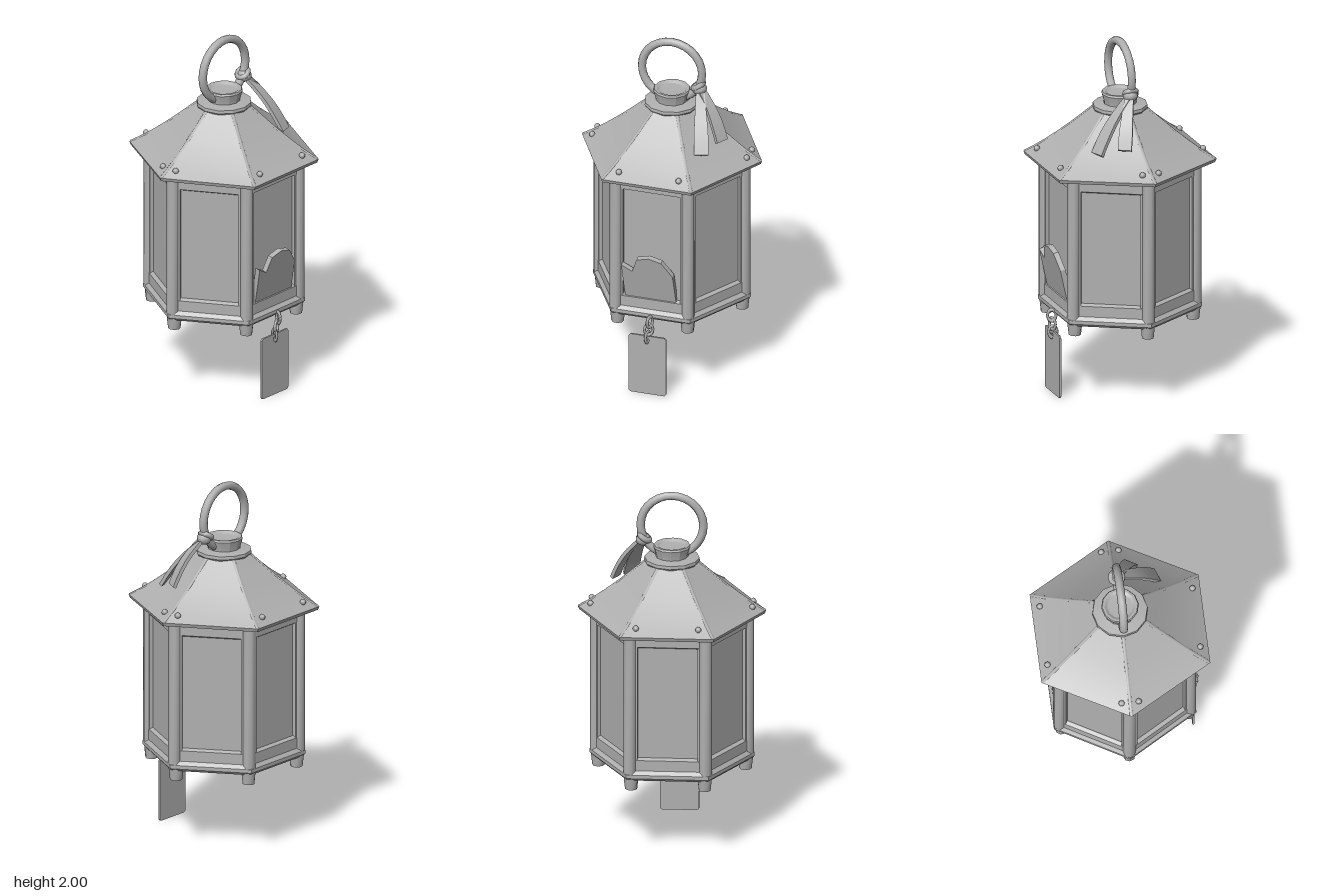
import * as THREE from 'three';
import { toCreasedNormals } from 'three/addons/utils/BufferGeometryUtils.js';

const metal = new THREE.MeshStandardMaterial({ color: 0xb0b0b0 });
metal.name = 'plain grey';

const V = (x, y, z) => new THREE.Vector3(x, y, z);

function add(parent, name, geometry, x = 0, y = 0, z = 0) {
  const mesh = new THREE.Mesh(geometry, metal);
  mesh.name = name;
  mesh.position.set(x, y, z);
  parent.add(mesh);
  return mesh;
}

// Solid of revolution with few sides and crisp edges; a corner points to +x
function ringed(points, sides) {
  const profile = points.map(([r, y]) => new THREE.Vector2(r, y));
  return toCreasedNormals(new THREE.LatheGeometry(profile, sides, Math.PI / 2), 0.4);
}

// Round bar through a list of points
function bar(points, radius, sides = 7) {
  return new THREE.TubeGeometry(new THREE.CatmullRomCurve3(points), 8, radius, sides);
}

// Flat strip from a to b that widens and bows towards its loose end
function strap(a, b, narrow, wide) {
  const length = a.distanceTo(b);
  const g = new THREE.BoxGeometry(1, 0.02, length, 1, 1, 6);
  const p = g.attributes.position;
  for (let i = 0; i < p.count; i++) {
    const t = p.getZ(i) / length + 0.5;
    p.setX(i, p.getX(i) * (narrow + (wide - narrow) * Math.min(1, t * 1.4)));
    p.setY(i, p.getY(i) + 0.02 * Math.sin(Math.PI * t));
  }
  const along = b.clone().sub(a).normalize();
  const across = V(0, 1, 0).cross(along).normalize();
  const up = along.clone().cross(across);
  g.applyMatrix4(new THREE.Matrix4().makeBasis(across, up, along));
  const mid = a.clone().add(b).multiplyScalar(0.5);
  g.translate(mid.x, mid.y, mid.z);
  return toCreasedNormals(g, 0.5);
}

export function createModel() {
  const model = new THREE.Group();
  model.name = 'lantern';

  // Base with a recessed underside and a sill, and the lintel under the roof
  add(model, 'base', ringed([[0, 0.5], [0.34, 0.5], [0.36, 0.46], [0.435, 0.46], [0.45, 0.475],
    [0.45, 0.495], [0.43, 0.515], [0.43, 0.575], [0.41, 0.585], [0, 0.585]], 6));
  add(model, 'lintel', ringed([[0, 1.225], [0.41, 1.225], [0.43, 1.235], [0.43, 1.315], [0, 1.315]], 6));

  // Roof, flared at the eaves
  const slope = [[0.513, 1.325], [0.43, 1.375], [0.29, 1.48], [0.15, 1.6]];
  const roof = new THREE.Group();
  roof.name = 'roof';
  roof.scale.z = 1.04;
  model.add(roof);
  add(roof, 'roofShell', ringed([[0, 1.305], [0.505, 1.305], ...slope, [0, 1.605]], 6));

  // Posts, feet, roof hips, stiles and panes around the six sides
  for (let i = 0; i < 6; i++) {
    const corner = i * Math.PI / 3;
    const c = Math.cos(corner), s = Math.sin(corner);
    const post = add(model, 'post', toCreasedNormals(new THREE.CylinderGeometry(0.036, 0.036, 0.83, 8), 0.9),
      0.411 * c, 0.9, 0.411 * s);
    post.rotation.y = -corner;
    const foot = add(model, 'foot', toCreasedNormals(new THREE.CylinderGeometry(0.042, 0.034, 0.075, 8), 0.9),
      0.4 * c, 0.44, 0.4 * s);
    foot.rotation.y = -corner;
    add(roof, 'hip', bar(slope.map(([r, y]) => V((r - 0.008) * c, y - 0.004, (r - 0.008) * s)), 0.011));

    const side = new THREE.Group();
    side.name = 'side';
    side.rotation.y = corner;
    model.add(side);
    add(side, 'pane', new THREE.BoxGeometry(0.39, 0.68, 0.012), 0, 0.905, 0.345);
    for (const k of [-1, 1]) {
      add(side, 'stile', new THREE.BoxGeometry(0.03, 0.66, 0.04), k * 0.178, 0.905, 0.35);
    }
  }

  // Rivets near the eaves
  for (const k of [-1, 1]) {
    for (const m of [-1, 1]) {
      add(roof, 'rivet', new THREE.SphereGeometry(0.017, 8, 6), k * 0.17, 1.362, m * 0.402);
      add(roof, 'rivet', new THREE.SphereGeometry(0.017, 8, 6), k * 0.44, 1.358, m * 0.045);
    }
  }

  // Thick broken shard leaning out of the front opening
  const outline = [[-0.15, 0], [0.14, 0], [0.13, 0.18], [0.07, 0.265], [0, 0.285], [-0.07, 0.265],
    [-0.1, 0.18], [-0.16, 0.215]].map(([x, y]) => new THREE.Vector2(x, y));
  const shard = add(model, 'shard',
    new THREE.ExtrudeGeometry(new THREE.Shape(outline), { depth: 0.03, bevelEnabled: false }), 0, 0.58, 0.337);
  shard.rotation.x = 0.2;

  // Collar and dished cap
  add(model, 'collar', ringed([[0, 1.595], [0.145, 1.595], [0.152, 1.605], [0.15, 1.622], [0.09, 1.63]], 12));
  add(model, 'cap', ringed([[0.088, 1.62], [0.09, 1.64], [0.103, 1.685], [0.098, 1.695], [0.085, 1.695],
    [0.07, 1.685], [0, 1.68]], 12));

  // Carrying ring
  add(model, 'carryRing', new THREE.TorusGeometry(0.171, 0.023, 8, 28), 0, 1.806, 0);

  // Knotted cord with two loose ends
  const knot = add(model, 'knot', new THREE.SphereGeometry(0.042, 9, 7), 0.158, 1.72, 0.005);
  knot.scale.set(1, 0.85, 1);
  const wrap = add(model, 'knotWrap', new THREE.TorusGeometry(0.032, 0.016, 6, 12), 0.15, 1.735, 0);
  wrap.rotation.set(Math.PI / 2, 0.6, 0);
  add(model, 'strap', strap(V(0.165, 1.72, 0.01), V(0.315, 1.465, 0.1), 0.045, 0.075));
  add(model, 'strap', strap(V(0.165, 1.71, 0.015), V(0.24, 1.435, 0.23), 0.045, 0.08));

  // Hanging tag on three links
  const links = [[0, 0.452, 0.4, Math.PI / 2 - 0.4], [-0.008, 0.4, 0.393, 0.4], [-0.016, 0.35, 0.387, Math.PI / 2 - 0.3]];
  for (const [x, y, z, turn] of links) {
    const link = add(model, 'link', new THREE.TorusGeometry(0.023, 0.008, 6, 14), x, y, z);
    link.scale.y = 1.4;
    link.rotation.y = turn;
  }
  const plate = new THREE.Shape([[-0.105, 0.01], [-0.095, 0], [0.098, 0], [0.108, 0.01], [0.108, 0.345],
    [0.098, 0.357], [-0.095, 0.357], [-0.105, 0.345]].map(([x, y]) => new THREE.Vector2(x, y)));
  const hole = new THREE.Path();
  hole.absarc(0, 0.33, 0.013, 0, Math.PI * 2, true);
  plate.holes.push(hole);
  add(model, 'tag', new THREE.ExtrudeGeometry(plate, { depth: 0.01, bevelEnabled: false, curveSegments: 6 }),
    -0.018, 0, 0.381);

  return model;
}
